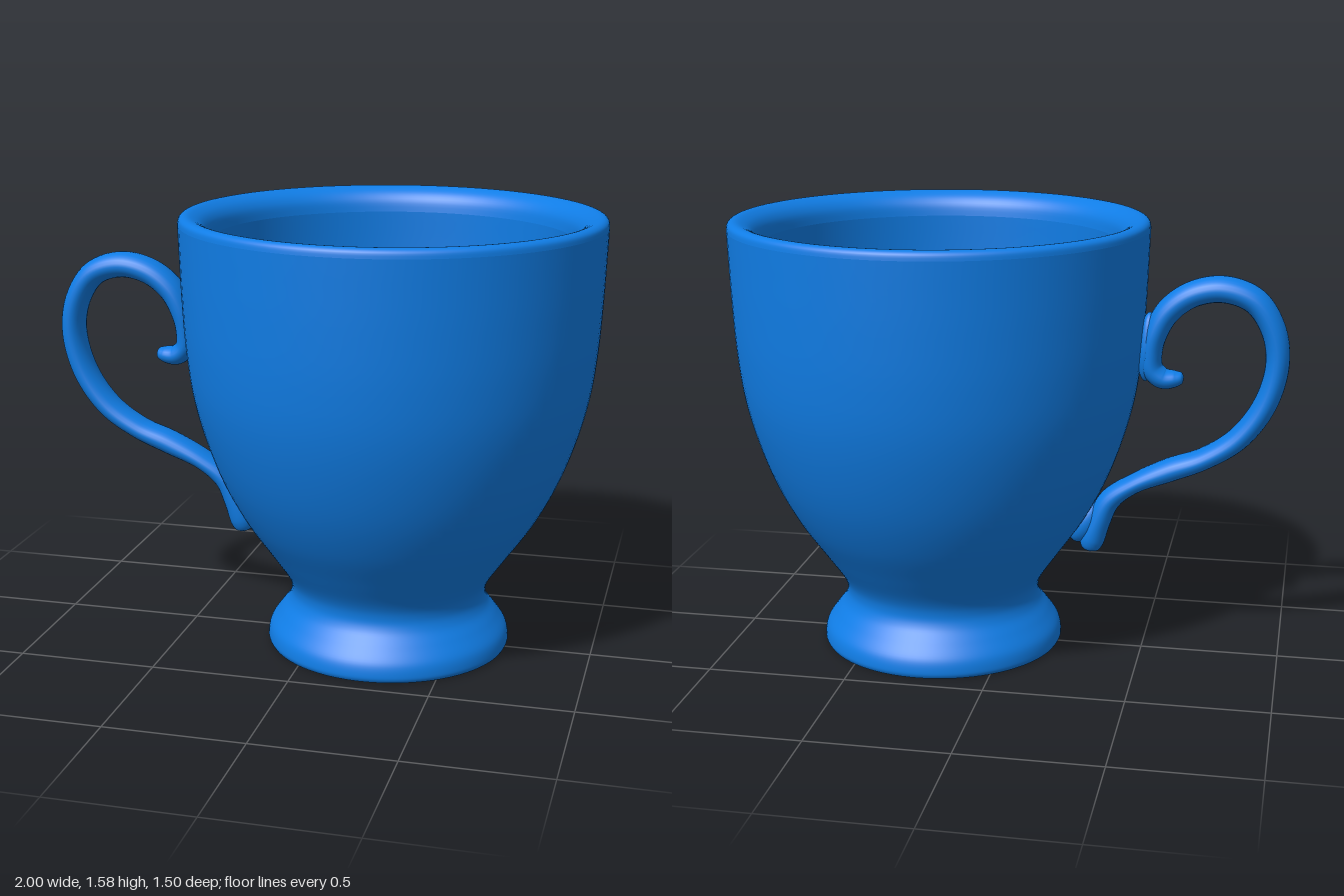
import * as THREE from 'three';

const blue = new THREE.MeshStandardMaterial({ color: 0x107de6 });
blue.name = 'blueGlaze';

const AXIS_X = 0.25; // the bowl sits off centre to leave room for the handle

// Smooth turned surface through [radius, height] points
function turned(name, points, samples) {
  const curve = new THREE.SplineCurve(points.map(([r, y]) => new THREE.Vector2(r, y)));
  const profile = curve.getPoints(samples);
  profile.forEach((p) => { p.x = Math.max(p.x, 0); });
  const mesh = new THREE.Mesh(new THREE.LatheGeometry(profile, 96), blue);
  mesh.name = name;
  mesh.position.x = AXIS_X;
  return mesh;
}

// Elliptical tube in the xy plane through [x, y, half width in plane, half depth in z]
function sweep(stations, steps, sides) {
  const path = new THREE.CatmullRomCurve3(stations.map(([x, y]) => new THREE.Vector3(x, y, 0)), false, 'centripetal');
  const sizes = new THREE.SplineCurve(stations.map((s) => new THREE.Vector2(s[2], s[3])));
  const positions = [], index = [];
  for (let i = 0; i <= steps; i++) {
    const p = path.getPoint(i / steps);
    const t = path.getTangent(i / steps);
    const size = sizes.getPoint(i / steps);
    for (let j = 0; j < sides; j++) {
      const a = (j / sides) * Math.PI * 2;
      const w = Math.cos(a) * Math.max(size.x, 0.001);
      positions.push(p.x - t.y * w, p.y + t.x * w, Math.sin(a) * Math.max(size.y, 0.001));
      if (i < steps) {
        const k = i * sides + j, n = i * sides + ((j + 1) % sides);
        index.push(k, n, k + sides, n, n + sides, k + sides);
      }
    }
  }
  const geometry = new THREE.BufferGeometry();
  geometry.setAttribute('position', new THREE.Float32BufferAttribute(positions, 3));
  geometry.setIndex(index);
  geometry.computeVertexNormals();
  return geometry;
}

export function createModel() {
  const group = new THREE.Group();
  group.name = 'footedCup';

  // Outer wall, from the flared foot up to the lip
  group.add(turned('outerWall', [
    [0.437, 0], [0.444, 0.02], [0.435, 0.065], [0.4, 0.115], [0.367, 0.16], [0.357, 0.205],
    [0.375, 0.26], [0.44, 0.355], [0.53, 0.485], [0.607, 0.63], [0.667, 0.79], [0.708, 0.95],
    [0.73, 1.12], [0.741, 1.3], [0.747, 1.46], [0.75, 1.55],
  ], 90));

  // Rounded lip
  group.add(turned('lip', [
    [0.75, 1.55], [0.746, 1.57], [0.73, 1.581], [0.705, 1.579], [0.67, 1.56], [0.648, 1.53], [0.64, 1.49],
  ], 24));

  // Inner wall and the flat floor of the bowl
  group.add(turned('innerWall', [
    [0.64, 1.49], [0.642, 1.3], [0.632, 1.1], [0.6, 0.9], [0.545, 0.72], [0.465, 0.56],
    [0.36, 0.42], [0.27, 0.325], [0.21, 0.295],
  ], 60));
  group.add(turned('bowlFloor', [[0.21, 0.295], [0.1, 0.295], [0, 0.295]], 4));

  // Hollow underside of the foot and its narrow standing ring
  group.add(turned('footHollow', [
    [0, 0.2], [0.15, 0.198], [0.27, 0.18], [0.335, 0.125], [0.375, 0.06], [0.405, 0],
  ], 30));
  group.add(turned('standingRing', [[0.405, 0], [0.437, 0]], 1));

  // Scrolled handle, from the upper curl round to the lower drop
  const handle = new THREE.Mesh(sweep([
    [-0.632, 1.035, 0, 0], [-0.625, 1.034, 0.018, 0.026], [-0.6, 1.028, 0.03, 0.042],
    [-0.555, 1.028, 0.037, 0.052], [-0.52, 1.06, 0.038, 0.056], [-0.515, 1.12, 0.038, 0.06],
    [-0.528, 1.19, 0.042, 0.064], [-0.57, 1.27, 0.045, 0.065], [-0.65, 1.332, 0.046, 0.065],
    [-0.76, 1.355, 0.047, 0.065], [-0.87, 1.318, 0.046, 0.065], [-0.937, 1.22, 0.044, 0.065],
    [-0.957, 1.1, 0.042, 0.065], [-0.92, 0.95, 0.042, 0.065], [-0.83, 0.82, 0.041, 0.065],
    [-0.71, 0.738, 0.039, 0.063], [-0.59, 0.69, 0.042, 0.062], [-0.46, 0.63, 0.035, 0.06],
    [-0.375, 0.565, 0.04, 0.058], [-0.335, 0.48, 0.043, 0.056], [-0.312, 0.41, 0.045, 0.05],
    [-0.306, 0.375, 0.032, 0.034], [-0.304, 0.36, 0, 0],
  ], 180, 24), blue);
  handle.name = 'handle';
  group.add(handle);

  // Soft pads that join the handle to the bowl: [x, y, half sizes, tilt]
  const pads = [
    ['upperJoint', -0.5, 1.14, 0.035, 0.125, 0.055, 0.05],
    ['lowerJoint', -0.285, 0.475, 0.05, 0.085, 0.05, 0.5],
  ];
  for (const [name, x, y, sx, sy, sz, tilt] of pads) {
    const pad = new THREE.Mesh(new THREE.SphereGeometry(1, 24, 16), blue);
    pad.name = name;
    pad.position.set(x, y, 0);
    pad.scale.set(sx, sy, sz);
    pad.rotation.z = tilt;
    group.add(pad);
  }

  return group;
}
